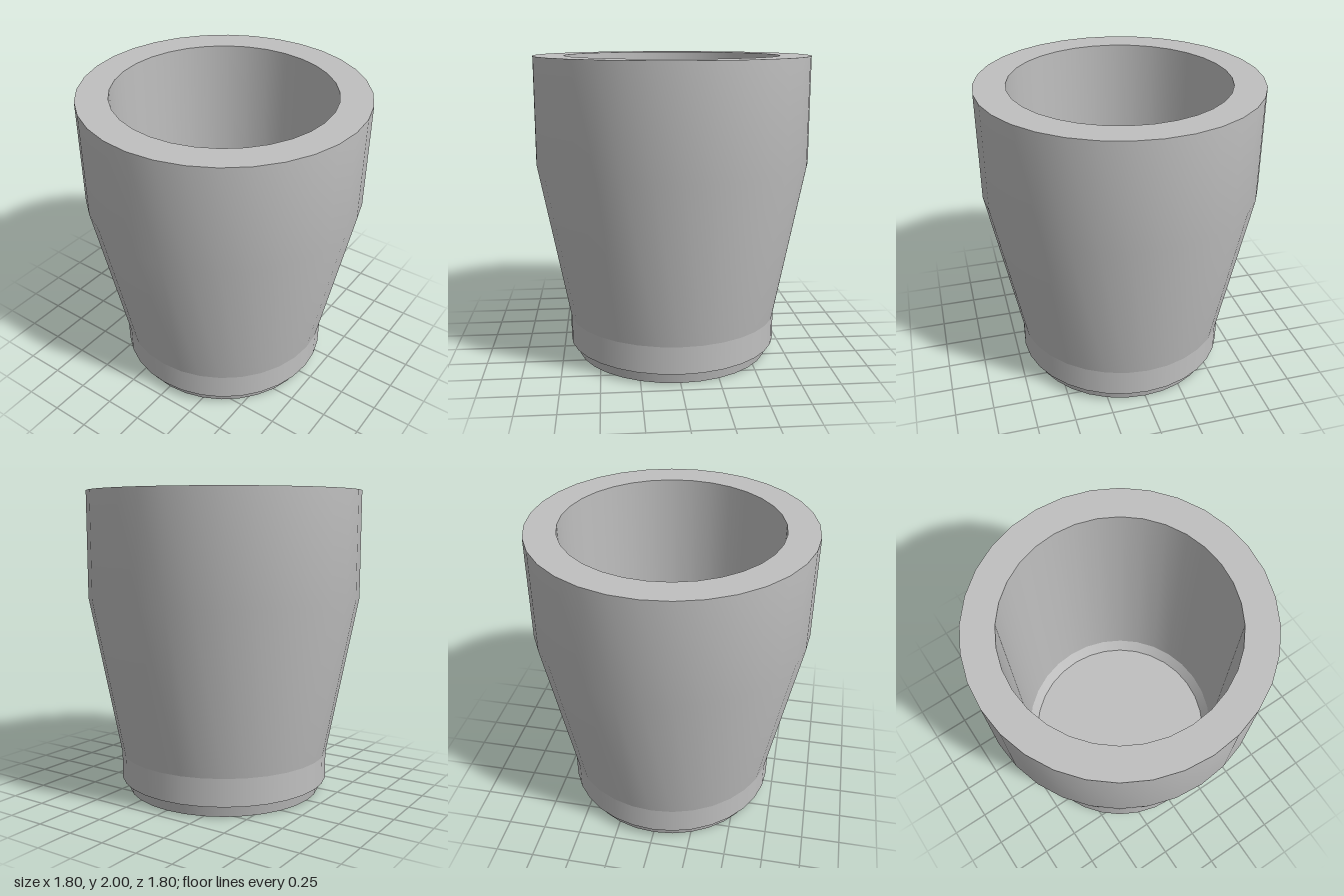
import * as THREE from 'three';

const SIDES = 32;

export function createModel() {
  const group = new THREE.Group();
  const grey = new THREE.MeshStandardMaterial({ color: 0xc0c0c0 });
  grey.name = 'grey';

  // Each band is its own lathe, so it is smooth around and sharp at its ends.
  // Profiles running upwards face outwards; profiles running downwards face inwards.
  const band = (name, ...profile) => {
    const points = profile.map(([r, y]) => new THREE.Vector2(r, y));
    const mesh = new THREE.Mesh(new THREE.LatheGeometry(points, SIDES), grey);
    mesh.name = name;
    group.add(mesh);
  };

  // Outside, from the base up
  band('baseDisc', [0, 0], [0.65, 0]);
  band('foot', [0.65, 0], [0.665, 0.08]);
  band('collarUnderside', [0.665, 0.08], [0.7, 0.08]);
  band('collar', [0.7, 0.08], [0.7, 0.26]);
  band('body', [0.7, 0.26], [0.9, 1.31], [0.9, 2]);

  // Rim and hollow inside
  band('rim', [0.9, 2], [0.7, 2]);
  band('innerWall', [0.7, 2], [0.7, 0.16]);
  band('innerChamfer', [0.7, 0.16], [0.65, 0.08]);
  band('innerFloor', [0.65, 0.08], [0, 0.08]);

  return group;
}
